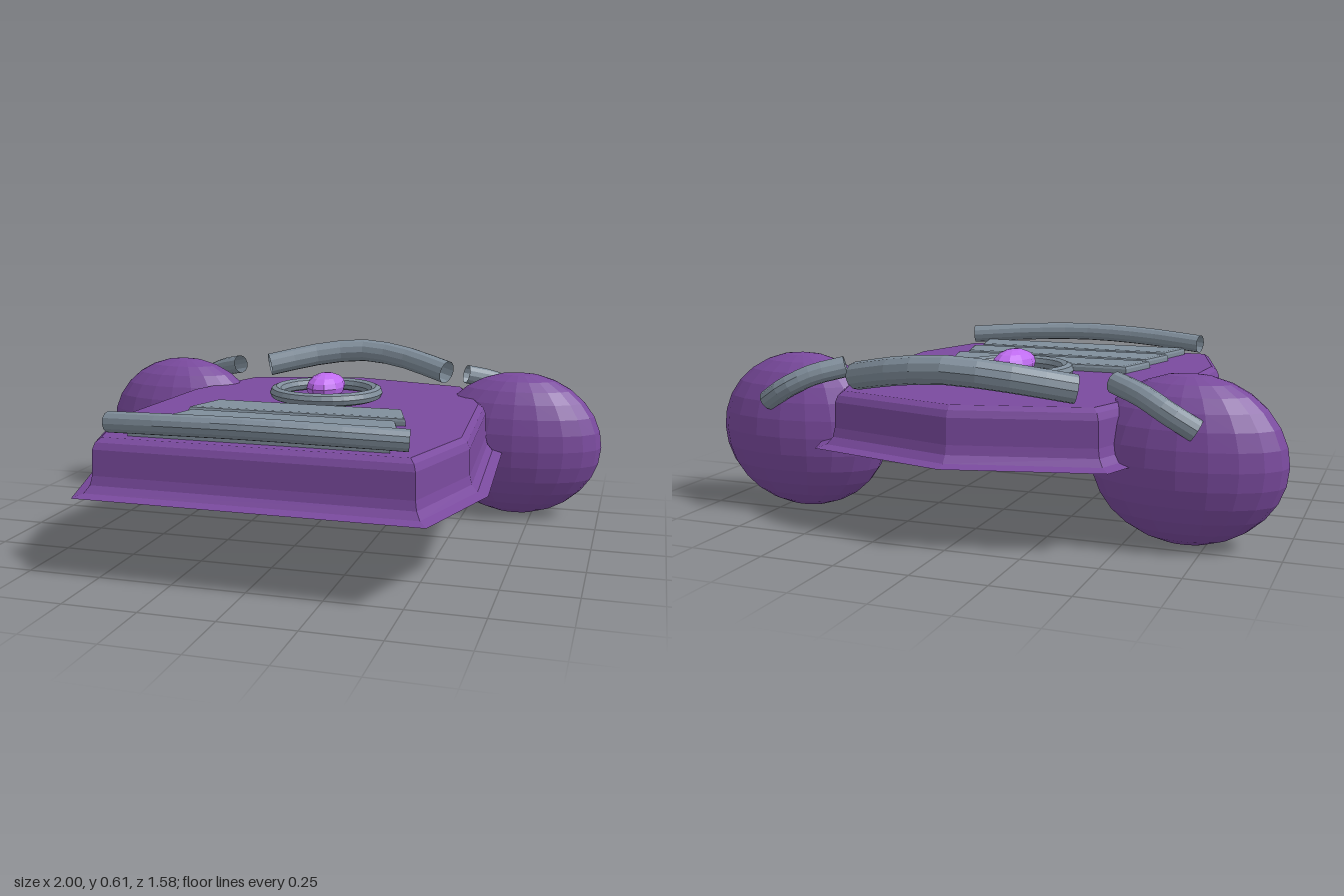
import * as THREE from 'three';

const mat = (color, flat = true) =>
  new THREE.MeshStandardMaterial({ color, flatShading: flat, side: THREE.DoubleSide });

// Moves every edge of a convex outline inwards by d, with mitred corners
function inset(outline, d) {
  const n = outline.length;
  const normal = (p, q) => {
    const l = Math.hypot(q[0] - p[0], q[1] - p[1]);
    return [(q[1] - p[1]) / l, -(q[0] - p[0]) / l];
  };
  return outline.map((p, i) => {
    const a = normal(outline[(i + n - 1) % n], p);
    const b = normal(p, outline[(i + 1) % n]);
    const k = d / (1 + a[0] * b[0] + a[1] * b[1]);
    return [p[0] - (a[0] + b[0]) * k, p[1] - (a[1] + b[1]) * k];
  });
}

// Closed hull: the outline is stacked in rings of [inset, height]
function hullGeometry(outline, profile) {
  const n = outline.length;
  const pos = [];
  const index = [];
  for (const [d, y] of profile) {
    for (const [x, z] of inset(outline, d)) pos.push(x, y, z);
  }
  const last = (profile.length - 1) * n;
  const bottom = pos.length / 3;
  pos.push(0, profile[0][1], 0, 0, profile[profile.length - 1][1], 0);
  for (let i = 0; i < n; i++) {
    const j = (i + 1) % n;
    for (let r = 0; r < last; r += n) {
      index.push(r + j, r + i, r + n + i, r + j, r + n + i, r + n + j);
    }
    index.push(bottom, i, j, bottom + 1, last + j, last + i);
  }
  const g = new THREE.BufferGeometry();
  g.setAttribute('position', new THREE.Float32BufferAttribute(pos, 3));
  g.setIndex(index);
  g.computeVertexNormals();
  return g;
}

// Open-ended pipe through the given points
function pipe(points, radius, segments) {
  const curve = new THREE.CatmullRomCurve3(points.map((p) => new THREE.Vector3(...p)));
  return new THREE.TubeGeometry(curve, segments, radius, 12, false);
}

// Bevelled trapezoid plate lying flat, wider towards the front
function slatGeometry(backHalf, frontHalf, depth) {
  const b = 0.012;
  const s = new THREE.Shape([
    new THREE.Vector2(-frontHalf + b, -depth / 2 + b),
    new THREE.Vector2(frontHalf - b, -depth / 2 + b),
    new THREE.Vector2(backHalf - b, depth / 2 - b),
    new THREE.Vector2(-backHalf + b, depth / 2 - b),
  ]);
  const g = new THREE.ExtrudeGeometry(s, {
    depth: 0.025, bevelEnabled: true, bevelSize: b, bevelThickness: b, bevelSegments: 2,
  });
  return g.rotateX(-Math.PI / 2);
}

export function createModel() {
  const model = new THREE.Group();
  const purple = mat(0x7a4a9e);
  const metal = mat(0x808e9b);
  const violet = mat(0xbf6cf0);

  const add = (name, geometry, material, x = 0, y = 0, z = 0) => {
    const mesh = new THREE.Mesh(geometry, material);
    mesh.name = name;
    mesh.position.set(x, y, z);
    model.add(mesh);
    return mesh;
  };

  // Body with a flared skirt and rounded shoulder
  const half = [[0.5, -0.665], [0.65, -0.25], [0.69, 0.38], [0.57, 0.785]];
  const outline = [[0, -0.79], ...half, ...half.map(([x, z]) => [-x, z]).reverse()];
  const profile = [
    [0, 0.272], [0.035, 0.282], [0.054, 0.305], [0.061, 0.335],
    [0.064, 0.42], [0.073, 0.442], [0.092, 0.456],
  ];
  add('body', hullGeometry(outline, profile), purple);

  // Front grille slats
  for (let i = 0; i < 3; i++) {
    add('slat' + (i + 1), slatGeometry(0.345 + i * 0.022, 0.388 + i * 0.02, 0.165),
      metal, 0, 0.446, 0.168 + i * 0.202);
  }

  // Ring and gem on the deck
  add('ring', new THREE.TorusGeometry(0.187, 0.024, 8, 32).rotateX(Math.PI / 2),
    metal, 0, 0.488, -0.148);
  add('gem', new THREE.SphereGeometry(1, 10, 8).scale(0.07, 0.05, 0.11),
    violet, 0, 0.51, -0.145);

  // Curved bars at the front and the back
  add('frontBar', pipe([
    [-0.49, 0.5, 0.66], [-0.25, 0.515, 0.715], [0, 0.522, 0.738],
    [0.25, 0.515, 0.715], [0.49, 0.5, 0.66],
  ], 0.035, 10), metal);
  add('backBar', pipe([
    [-0.375, 0.51, -0.595], [-0.18, 0.55, -0.69], [0, 0.568, -0.728],
    [0.18, 0.55, -0.69], [0.375, 0.51, -0.595],
  ], 0.046, 8), metal);

  // Side pods with their connecting pipes
  for (const [side, s] of [['left', 1], ['right', -1]]) {
    add(side + 'Pod', new THREE.SphereGeometry(1, 20, 14).scale(0.315, 0.273, 0.17),
      purple, s * 0.685, 0.278, -0.417);
    add(side + 'Pipe', pipe([
      [s * 0.47, 0.522, -0.5], [s * 0.57, 0.495, -0.552],
      [s * 0.66, 0.45, -0.578], [s * 0.74, 0.4, -0.56],
    ], 0.036, 8), metal);
  }

  return model;
}
